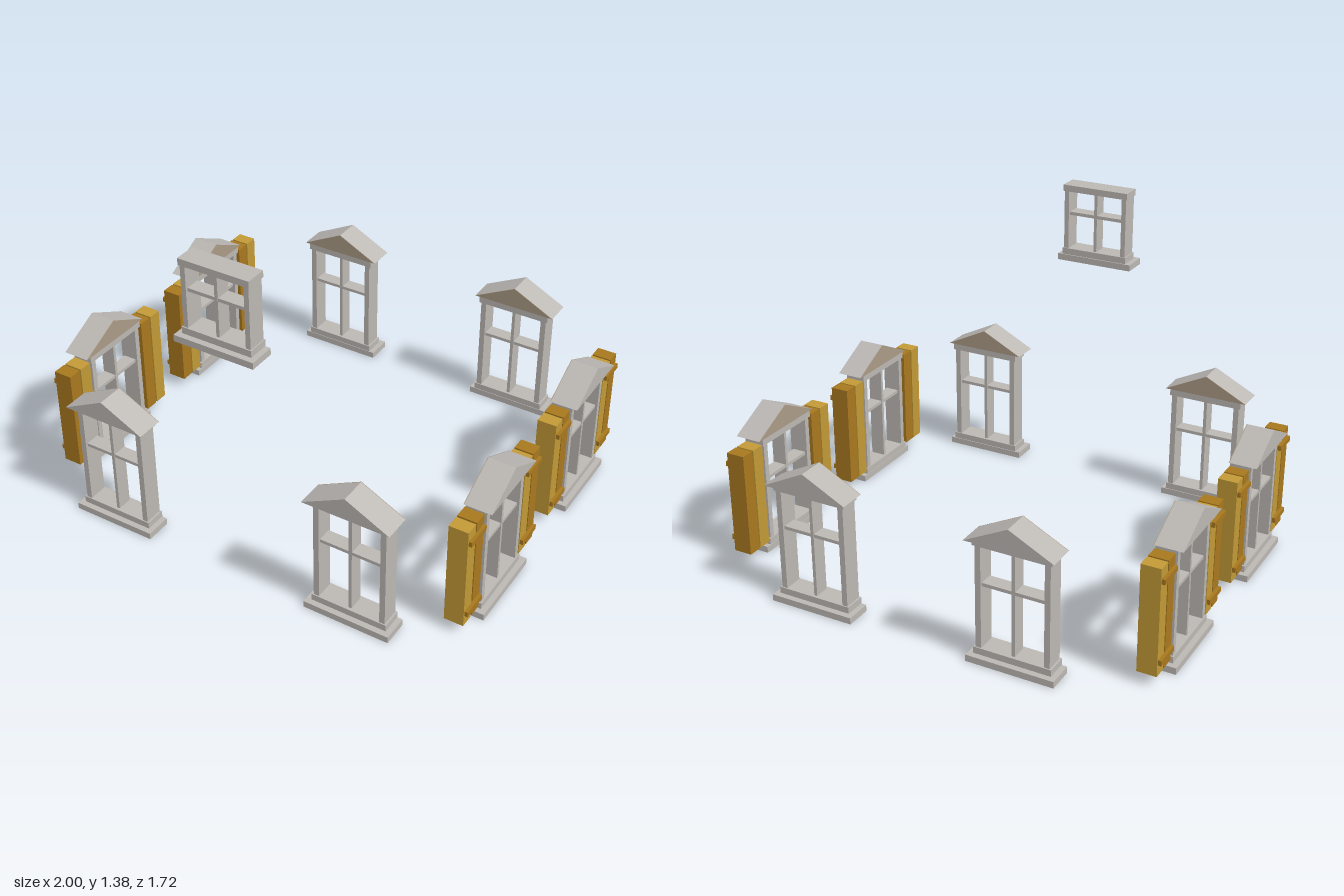
import * as THREE from 'three';

const stone = new THREE.MeshStandardMaterial({ color: 0xbcb8b4 });
stone.name = 'stone grey';
const tan = new THREE.MeshStandardMaterial({ color: 0xaa9b86 });
tan.name = 'gable tan';
const lightWood = new THREE.MeshStandardMaterial({ color: 0xc29a36 });
lightWood.name = 'light wood';
const darkWood = new THREE.MeshStandardMaterial({ color: 0xa8781e });
darkWood.name = 'dark wood';

// Box given by its lower and upper limits on each axis
function block(parent, name, material, [x0, x1], [y0, y1], [z0, z1]) {
  const mesh = new THREE.Mesh(new THREE.BoxGeometry(x1 - x0, y1 - y0, z1 - z0), material);
  mesh.position.set((x0 + x1) / 2, (y0 + y1) / 2, (z0 + z1) / 2);
  mesh.name = name;
  parent.add(mesh);
}

function prism(parent, name, material, half, y0, y1, z0, z1) {
  const shape = new THREE.Shape([
    new THREE.Vector2(-half, y0), new THREE.Vector2(half, y0), new THREE.Vector2(0, y1),
  ]);
  const mesh = new THREE.Mesh(
    new THREE.ExtrudeGeometry(shape, { depth: z1 - z0, bevelEnabled: false }), material);
  mesh.position.z = z0;
  mesh.name = name;
  parent.add(mesh);
}

// Sill, ledge, posts, lintel and glazing bars; z = 0 is the inner face, +z points outdoors
function windowFrame({ sill, half, post, height, bar }) {
  const g = new THREE.Group();
  const top = height - 0.028;
  block(g, 'sill', stone, [-sill, sill], [0, 0.028], [0, 0.113]);
  block(g, 'ledge', stone, [-half, half], [0.03, 0.058], [0, 0.09]);
  block(g, 'lintel', stone, [-half, half], [top, height], [0, 0.09]);
  for (const s of [-1, 1]) {
    const xs = [s * post[0], s * post[1]].sort((a, b) => a - b);
    block(g, 'sidePost', stone, xs, [0.057, top], [0.004, 0.085]);
  }
  block(g, 'mullion', stone, [-0.007, 0.007], [0.057, top], [0.012, 0.077]);
  block(g, 'crossBar', stone, [-post[0], post[0]], [bar - 0.007, bar + 0.007], [0.014, 0.075]);
  return g;
}

// Two boards joined by two battens on one side of the window
function shutter(side) {
  const g = new THREE.Group();
  g.name = 'shutter';
  const c = side * 0.236;
  block(g, 'leftBoard', lightWood, [c - 0.063, c - 0.004], [0.048, 0.504], [0, 0.082]);
  block(g, 'rightBoard', darkWood, [c + 0.004, c + 0.063], [0.048, 0.504], [0, 0.082]);
  for (const y of [0.107, 0.45]) {
    block(g, 'batten', darkWood, [c - 0.058, c + 0.058], [y - 0.011, y + 0.011], [0.06, 0.096]);
  }
  return g;
}

function gabledWindow(withShutters) {
  const g = windowFrame({ sill: 0.187, half: 0.165, post: [0.133, 0.157], height: 0.524, bar: 0.33 });
  g.name = withShutters ? 'shutteredWindow' : 'gabledWindow';
  prism(g, 'gable', stone, 0.187, 0.524, 0.618, 0.003, 0.118);
  prism(g, 'gableInnerFace', tan, 0.187, 0.524, 0.618, 0, 0.003);
  if (withShutters) g.add(shutter(-1), shutter(1));
  return g;
}

export function createModel() {
  const model = new THREE.Group();
  model.name = 'houseWindows';
  const place = (window, x, y, z, turn) => {
    window.position.set(x, y, z);
    window.rotation.y = turn;
    model.add(window);
  };

  for (const s of [-1, 1]) {
    // Front and back walls
    place(gabledWindow(false), s * 0.557, 0, 0.742, 0);
    place(gabledWindow(false), s * 0.447, 0, -0.742, Math.PI);
    // Side walls
    for (const z of [-0.373, 0.373]) {
      place(gabledWindow(true), s * 0.882, 0, z, s * Math.PI / 2);
    }
  }

  // Attic window
  const attic = windowFrame({ sill: 0.174, half: 0.152, post: [0.126, 0.147], height: 0.346, bar: 0.216 });
  attic.name = 'atticWindow';
  place(attic, 0, 1.039, 0.742, 0);
  return model;
}
